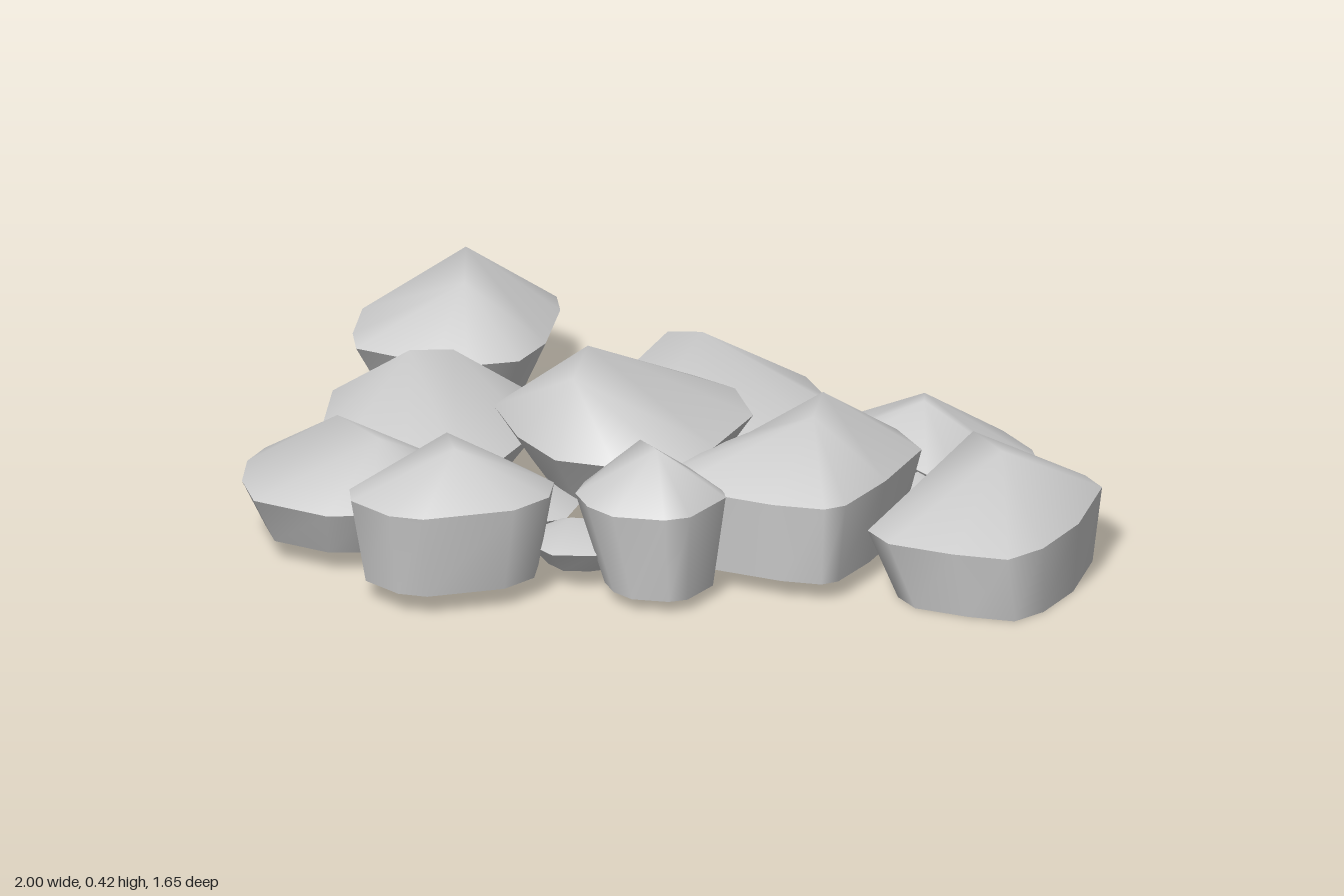
import * as THREE from 'three';

const stone = new THREE.MeshStandardMaterial({ color: 0xcccccc, side: THREE.DoubleSide });

// A hollow stone: a sloped cap running from a ridge down to the widest outline,
// then a wall tapering in to an open base.
// outline: [x, z] pairs, clockwise from above; ridge: [x, y, z] points;
// tilt: slope of the outline and base along x and z; shift: x, z offset of the base.
function rock(name, { outline, ridge, rim, base, taper, tilt = [0, 0], shift = [0, 0] }) {
  const n = outline.length;
  const cx = outline.reduce((s, p) => s + p[0], 0) / n;
  const cz = outline.reduce((s, p) => s + p[1], 0) / n;
  const ring = (y, k, [sx, sz]) => outline.map(([x, z]) => [
    cx + (x - cx) * k + sx,
    Math.max(0, y + (x - cx) * k * tilt[0] + (z - cz) * k * tilt[1]),
    cz + (z - cz) * k + sz,
  ]);
  const top = ring(rim, 1, [0, 0]);
  const bottom = ring(base, taper, shift);

  // The cap and the wall keep their own rim points so the rim stays sharp
  const points = [...top, ...ridge, ...top, ...bottom];
  const wall = n + ridge.length;
  const nearest = outline.map(([x, z]) => {
    const d = ridge.map((r) => Math.hypot(r[0] - x, r[2] - z));
    return n + d.indexOf(Math.min(...d));
  });
  const index = [];
  for (let i = 0; i < n; i++) {
    const j = (i + 1) % n;
    index.push(j, i, nearest[i]);
    if (nearest[i] !== nearest[j]) index.push(j, nearest[i], nearest[j]);
    index.push(wall + i, wall + j, wall + n + j, wall + i, wall + n + j, wall + n + i);
  }
  const geometry = new THREE.BufferGeometry();
  geometry.setAttribute('position', new THREE.Float32BufferAttribute(points.flat(), 3));
  geometry.setIndex(index);
  geometry.computeVertexNormals();
  const mesh = new THREE.Mesh(geometry, stone);
  mesh.name = name;
  return mesh;
}

// Rounded outline for the small stones tucked under the pile
function oval(cx, cz, rx, rz, sides = 9) {
  return Array.from({ length: sides }, (_, i) => {
    const a = (i / sides) * Math.PI * 2;
    const k = 1 + 0.06 * Math.sin(i * 2.4);
    return [cx + Math.cos(a) * rx * k, cz + Math.sin(a) * rz * k];
  });
}

export function createModel() {
  const group = new THREE.Group();
  group.name = 'rockPile';

  group.add(
    // Back of the pile
    rock('loneBackRock', {
      outline: [[-0.46, -0.83], [-0.36, -0.81], [-0.29, -0.75], [-0.28, -0.67], [-0.31, -0.47], [-0.37, -0.36],
        [-0.49, -0.33], [-0.57, -0.34], [-0.75, -0.43], [-0.76, -0.52], [-0.74, -0.67], [-0.68, -0.76], [-0.6, -0.81]],
      ridge: [[-0.5, 0.31, -0.69], [-0.5, 0.295, -0.51]], rim: 0.16, base: 0.035, taper: 0.75,
    }),
    rock('backRightRock', {
      outline: [[-0.57, -0.285], [-0.42, -0.265], [-0.34, -0.19], [-0.32, 0.05], [-0.41, 0.24], [-0.5, 0.26],
        [-0.62, 0.2], [-0.77, 0.14], [-0.82, 0.02], [-0.8, -0.19], [-0.75, -0.25]],
      ridge: [[-0.52, 0.265, -0.18], [-0.62, 0.275, -0.15]], rim: 0.155, base: 0.01, taper: 0.55, shift: [0, 0.05],
    }),
    rock('backMiddleRock', {
      outline: [[0.13, -0.34], [0.22, -0.29], [0.3, -0.21], [0.345, -0.1], [0.355, -0.06], [0.3, 0.05], [0.18, 0.14],
        [0.04, 0.2], [-0.1, 0.14], [-0.2, -0.03], [-0.16, -0.13], [-0.08, -0.24], [0.02, -0.3]],
      ridge: [[0.06, 0.335, -0.13], [-0.02, 0.335, -0.13]], rim: 0.19, base: 0.04, taper: 0.76,
    }),
    rock('backLeftRock', {
      outline: [[0.57, -0.205], [0.66, -0.2], [0.76, -0.12], [0.83, -0.02], [0.84, 0.03], [0.8, 0.1], [0.66, 0.25],
        [0.59, 0.24], [0.42, 0.07], [0.39, 0.02], [0.4, -0.08], [0.49, -0.16]],
      ridge: [[0.58, 0.24, 0], [0.58, 0.245, 0.06]], rim: 0.12, base: 0.035, taper: 0.68, tilt: [-0.14, 0.04],
    }),

    // Middle of the pile
    rock('topRock', {
      outline: [[-0.25, -0.02], [0.08, -0.02], [0.14, 0.03], [0.185, 0.19], [0.1, 0.38], [0.02, 0.49], [-0.13, 0.51],
        [-0.27, 0.47], [-0.36, 0.33], [-0.42, 0.14], [-0.36, 0.06]],
      ridge: [[-0.2, 0.42, 0.16], [-0.23, 0.42, 0.36]], rim: 0.26, base: 0.135, taper: 0.7,
    }),
    rock('farRightRock', {
      outline: [[-0.95, 0.18], [-0.87, 0.15], [-0.74, 0.135], [-0.5, 0.27], [-0.49, 0.42], [-0.55, 0.54], [-0.7, 0.585],
        [-0.8, 0.59], [-0.97, 0.5], [-1, 0.38], [-0.99, 0.26]],
      ridge: [[-0.78, 0.295, 0.29], [-0.68, 0.295, 0.43]], rim: 0.165, base: 0.05, taper: 0.75,
    }),
    rock('middleLeftRock', {
      outline: [[0.36, 0.14], [0.52, 0.22], [0.58, 0.34], [0.5, 0.53], [0.41, 0.68], [0.36, 0.705], [0.24, 0.68],
        [0, 0.58], [-0.06, 0.53], [0.02, 0.41], [0.18, 0.24]],
      ridge: [[0.35, 0.375, 0.32], [0.33, 0.375, 0.47]], rim: 0.24, base: 0.045, taper: 0.78, shift: [0.01, 0.04],
    }),

    // Front of the pile
    rock('frontRightRock', {
      outline: [[-0.48, 0.44], [-0.36, 0.48], [-0.27, 0.59], [-0.28, 0.68], [-0.36, 0.76], [-0.57, 0.82], [-0.65, 0.8],
        [-0.74, 0.71], [-0.745, 0.64], [-0.67, 0.54]],
      ridge: [[-0.52, 0.375, 0.58], [-0.5, 0.375, 0.68]], rim: 0.255, base: 0.05, taper: 0.85,
    }),
    rock('smallFrontRock', {
      outline: [[-0.01, 0.48], [0.07, 0.51], [0.125, 0.61], [0.13, 0.65], [0.05, 0.77], [-0.01, 0.79], [-0.13, 0.77],
        [-0.19, 0.71], [-0.22, 0.63], [-0.2, 0.56], [-0.12, 0.5]],
      ridge: [[-0.07, 0.365, 0.59], [-0.03, 0.37, 0.66]], rim: 0.245, base: 0.03, taper: 0.72, shift: [0.02, 0.02],
    }),
    rock('frontLeftRock', {
      outline: [[0.83, 0.25], [0.92, 0.28], [0.96, 0.31], [1, 0.38], [0.95, 0.6], [0.87, 0.75], [0.79, 0.82],
        [0.66, 0.79], [0.51, 0.73], [0.46, 0.65], [0.55, 0.42], [0.65, 0.31], [0.7, 0.27]],
      ridge: [[0.77, 0.3, 0.49], [0.7, 0.3, 0.37]], rim: 0.165, base: 0, taper: 0.83, shift: [0.02, 0.03],
    }),

    // Small stones filling the gaps underneath
    rock('gapRockRight', {
      outline: oval(-0.38, 0.38, 0.17, 0.16), ridge: [[-0.41, 0.2, 0.36]], rim: 0.12, base: 0.04, taper: 0.6,
    }),
    rock('gapRockFront', {
      outline: oval(-0.2, 0.55, 0.14, 0.12), ridge: [[-0.23, 0.15, 0.55]], rim: 0.1, base: 0.045, taper: 0.65,
    }),
    rock('gapRockMiddle', {
      outline: oval(0.26, 0.22, 0.13, 0.11), ridge: [[0.26, 0.2, 0.18]], rim: 0.11, base: 0.03, taper: 0.65,
    }),
    rock('gapRockUnder', {
      outline: oval(0.28, 0.42, 0.11, 0.11), ridge: [[0.28, 0.17, 0.42]], rim: 0.1, base: 0.02, taper: 0.6,
    }),
    rock('gapRockLeft', {
      outline: oval(0.57, 0.34, 0.1, 0.1), ridge: [[0.57, 0.18, 0.33]], rim: 0.11, base: 0.04, taper: 0.7,
    }),
  );
  return group;
}
